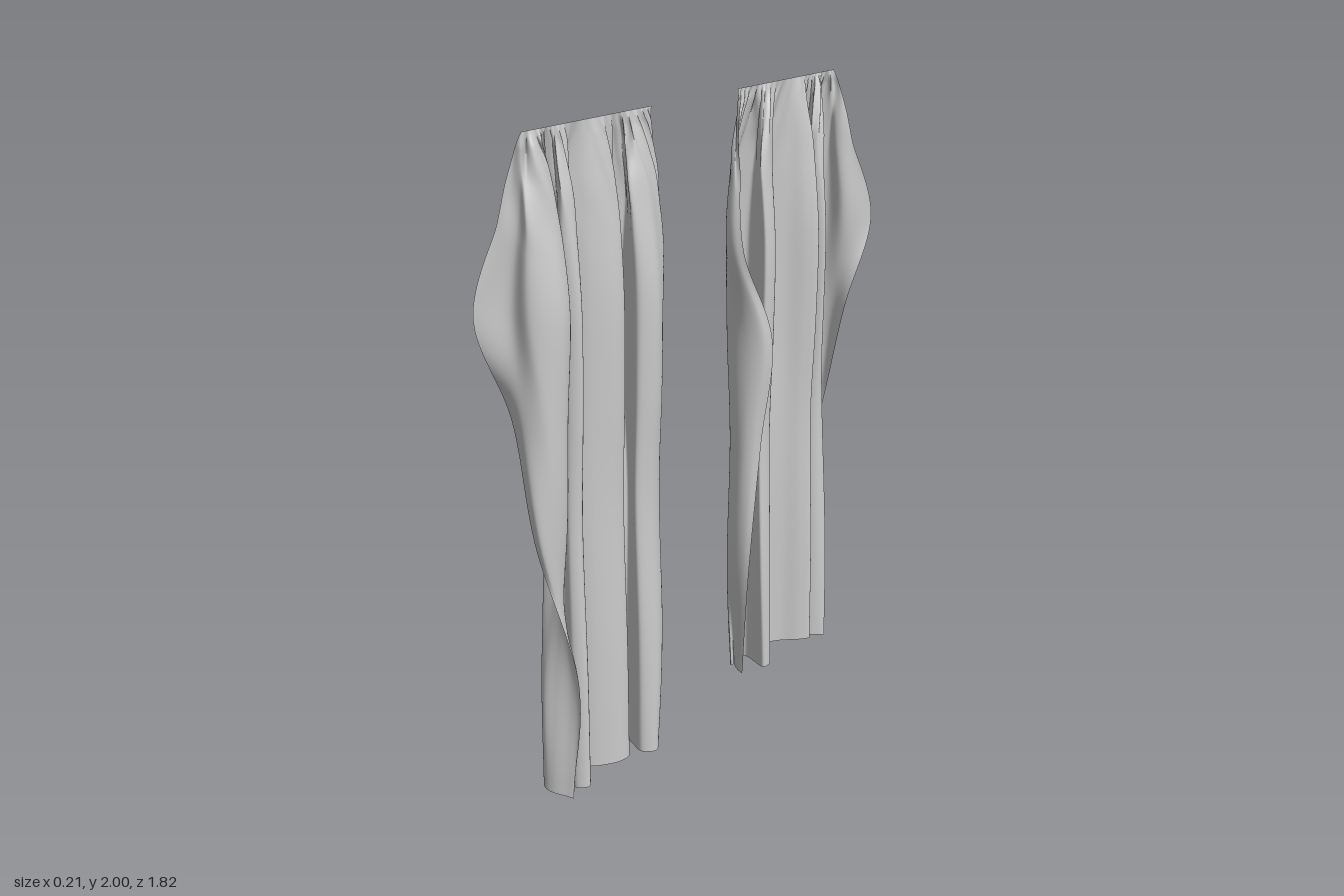
import * as THREE from 'three';

const COLS = 220, ROWS = 100;

// Cross-sections of one hanging panel as [x, z] pairs, from inner edge to outer edge.
// The folds in the middle are shared; the two free ends curl differently at each height.
const middle = [
  [0.065, 0.27], [0.088, 0.33], [0.055, 0.38], [0.0, 0.345], [-0.055, 0.31], [-0.06, 0.36],
  [-0.005, 0.42], [0.045, 0.43], [0.05, 0.475], [0.01, 0.54], [-0.045, 0.585], [-0.068, 0.62],
  [-0.02, 0.64], [0.03, 0.62], [0.062, 0.655], [0.03, 0.68], [-0.03, 0.65], [-0.065, 0.67],
];

// height, x scale of the middle folds, inner free end, outer free end
const levels = [
  { y: 1.76, s: 0.65,
    inner: [[-0.02, 0.212], [-0.005, 0.207], [0.015, 0.215], [0.03, 0.24]],
    outer: [[-0.03, 0.7], [0.03, 0.7], [0.05, 0.75], [0.02, 0.82], [-0.02, 0.815], [-0.06, 0.85]] },
  { y: 1.5, s: 1,
    inner: [[-0.045, 0.2], [-0.02, 0.19], [0.015, 0.2], [0.045, 0.235]],
    outer: [[-0.03, 0.7], [0.06, 0.7], [0.082, 0.765], [0.03, 0.835], [-0.04, 0.83], [-0.105, 0.908]] },
  { y: 1.2, s: 0.95,
    inner: [[-0.095, 0.295], [-0.085, 0.26], [-0.045, 0.24], [0.01, 0.242]],
    outer: [[-0.035, 0.7], [0.04, 0.7], [0.075, 0.75], [0.06, 0.815], [0.0, 0.84], [-0.065, 0.81]] },
  { y: 0.85, s: 0.75,
    inner: [[-0.068, 0.275], [-0.055, 0.248], [-0.028, 0.235], [0.01, 0.242]],
    outer: [[-0.05, 0.7], [0.01, 0.695], [0.055, 0.73], [0.062, 0.785], [0.045, 0.828], [0.02, 0.826]] },
  { y: 0.4, s: 0.92,
    inner: [[-0.04, 0.252], [-0.02, 0.248], [0.005, 0.25], [0.035, 0.26]],
    outer: [[-0.07, 0.705], [-0.045, 0.72], [-0.01, 0.71], [0.03, 0.695], [0.06, 0.7], [0.08, 0.722]] },
  { y: 0, s: 0.95,
    inner: [[0.02, 0.312], [0.035, 0.312], [0.05, 0.317], [0.062, 0.325]],
    outer: [[-0.08, 0.695], [-0.06, 0.715], [-0.03, 0.718], [0.01, 0.705], [0.03, 0.695], [0.02, 0.685]] },
];

// Spread along the straight heading: cloth is bunched at the ends, looser in the middle
function headingZ(i, last) {
  if (i < 9) return THREE.MathUtils.mapLinear(i, 0, 9, 0.228, 0.4);
  if (i < 15) return THREE.MathUtils.mapLinear(i, 9, 15, 0.4, 0.6);
  return THREE.MathUtils.mapLinear(i, 15, last, 0.6, 0.813);
}

function sections() {
  const list = levels.map(({ y, s, inner, outer }) => {
    // near the hem the innermost folds draw in
    const draw = 0.035 * Math.max(0, 1 - y / 0.45);
    return [
      ...inner,
      ...middle.map(([x, z]) => [x * s, z + draw * Math.max(0, (0.38 - z) / 0.11)]),
      ...outer,
    ].map(([x, z]) => new THREE.Vector3(x, y, z));
  });
  const heading = list[0].map((p, i) => new THREE.Vector3(0, 2, headingZ(i, list[0].length - 1)));
  // first soft gathers below the heading
  const gather = heading.map((p, i) => p.clone().lerp(list[0][i], 0.58).setY(1.88));
  return [heading, gather, ...list];
}

function panelGeometry() {
  const secs = sections();
  const columns = secs[0].map((_, i) =>
    new THREE.CatmullRomCurve3(secs.map((s) => s[i]), false, 'catmullrom', 0.5));
  const pos = [], index = [];
  for (let r = 0; r <= ROWS; r++) {
    const row = new THREE.CatmullRomCurve3(columns.map((c) => c.getPoint(r / ROWS)), false, 'centripetal');
    for (let c = 0; c <= COLS; c++) {
      const u = c / COLS;
      const p = row.getPoint(u);
      // fine crumpled pleats under the heading, strongest towards both ends
      const d = 2 - p.y;
      const ends = 0.25 + 0.75 * Math.min(1, Math.abs(2 * u - 1) * 1.6);
      const pleat = ends * Math.min(1, d / 0.04) * Math.max(0, 1 - d / 0.32);
      p.x += 0.008 * pleat * Math.sin(u * 125 + 2 * Math.sin(u * 17) + d * 16);
      p.z += 0.008 * pleat * Math.sin(u * 97 + d * 24);
      // hem hangs lower towards both ends
      const hem = 0.04 * (1 - Math.pow(Math.abs(2 * u - 1), 2.5));
      p.y += hem * Math.max(0, 1 - p.y / 0.5);
      pos.push(p.x, p.y, p.z);
      if (r < ROWS && c < COLS) {
        const a = r * (COLS + 1) + c, b = a + COLS + 1;
        index.push(a, b, a + 1, b, b + 1, a + 1);
      }
    }
  }
  const g = new THREE.BufferGeometry();
  g.setAttribute('position', new THREE.Float32BufferAttribute(pos, 3));
  g.setIndex(index);
  g.computeVertexNormals();
  return g;
}

export function createModel() {
  const model = new THREE.Group();
  model.name = 'curtains';
  const cloth = new THREE.MeshStandardMaterial({ color: 0xcccccc, side: THREE.DoubleSide });
  const geometry = panelGeometry();
  // the second panel is the first one turned half way round
  ['frontCurtain', 'backCurtain'].forEach((name, i) => {
    const panel = new THREE.Mesh(geometry, cloth);
    panel.name = name;
    panel.rotation.y = i * Math.PI;
    model.add(panel);
  });
  return model;
}
